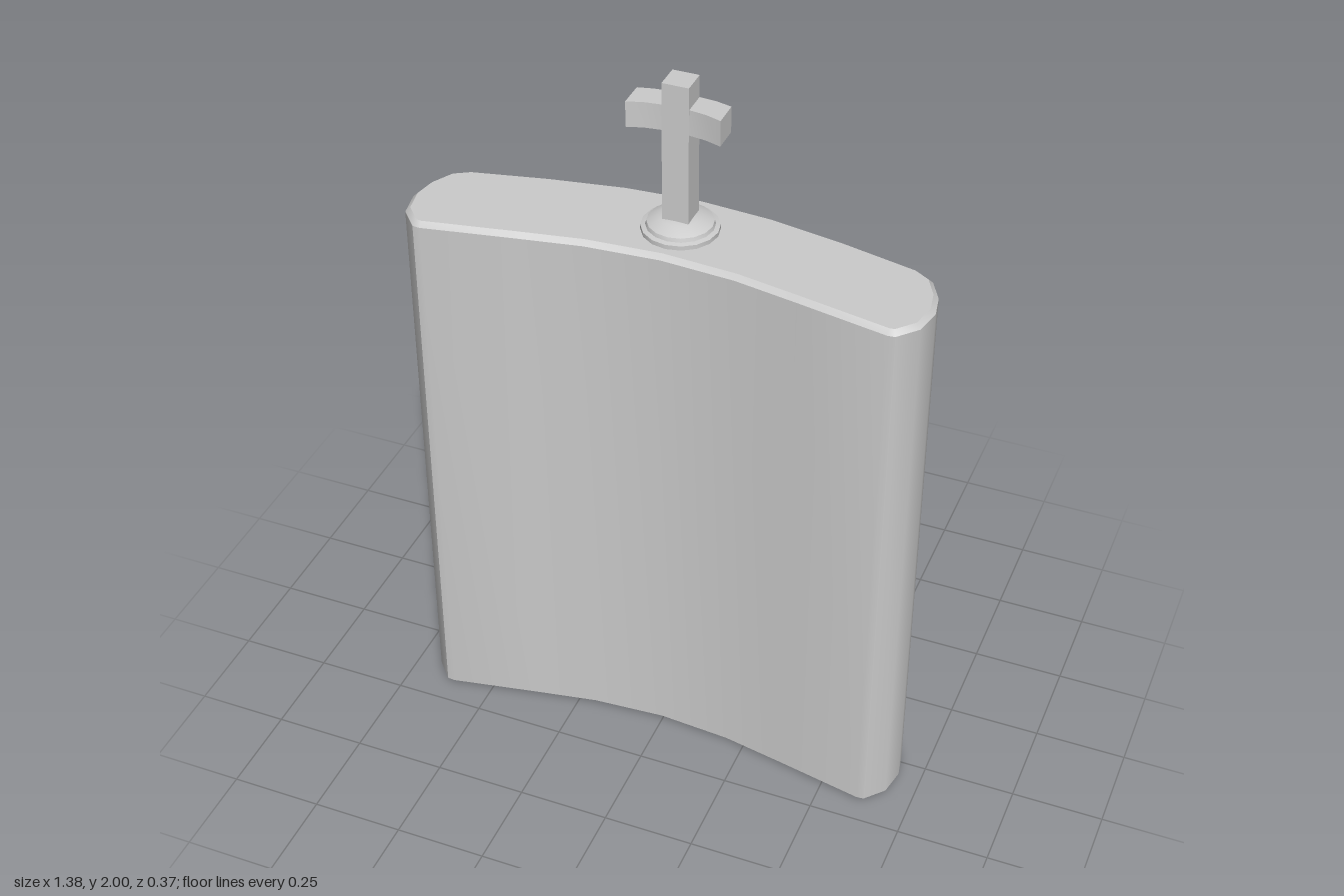
import * as THREE from 'three';
import { toCreasedNormals } from 'three/addons/utils/BufferGeometryUtils.js';

const material = new THREE.MeshStandardMaterial({ color: 0xcccccc });

function addPart(group, name, geometry) {
  const mesh = new THREE.Mesh(geometry, material);
  mesh.name = name;
  group.add(mesh);
  return mesh;
}

// Mirrors a half outline of [x, z] points (back centre to front centre) into a closed plan shape.
function mirroredPlan(half) {
  const left = half.slice(1, -1).reverse().map(([x, z]) => [-x, z]);
  return new THREE.Shape([...half, ...left].map(([x, z]) => new THREE.Vector2(x, z)));
}

// Raises a plan shape from y0 to y1, with an optional chamfer inside the outline.
function raisePlan(half, y0, y1, inset = 0, chamfer = 0) {
  const geometry = new THREE.ExtrudeGeometry(mirroredPlan(half), {
    depth: y1 - y0 - 2 * chamfer,
    bevelEnabled: inset > 0,
    bevelSegments: 1,
    bevelSize: inset,
    bevelOffset: -inset,
    bevelThickness: chamfer,
  });
  geometry.rotateX(Math.PI / 2);
  geometry.translate(0, y1 - chamfer, 0);
  return geometry;
}

export function createModel() {
  const group = new THREE.Group();
  group.name = 'flask';

  // Curved body with rounded ends and chamfered rims
  const bodyPlan = [
    [0, -0.187], [0.2, -0.173], [0.4, -0.138], [0.6, -0.093], [0.645, -0.066], [0.678, -0.005],
    [0.69, 0.058], [0.676, 0.131], [0.63, 0.182], [0.61, 0.184], [0.37, 0.138], [0.2, 0.107], [0, 0.093],
  ];
  addPart(group, 'body', toCreasedNormals(raisePlan(bodyPlan, 0, 1.578, 0.013, 0.013), 0.7));

  // Stopper: a stepped collar with a low dome
  const capZ = -0.04;
  const profile = [[0, 1.57], [0.1, 1.57], [0.1, 1.59], [0.088, 1.593], [0.085, 1.603], [0.055, 1.618], [0, 1.624]]
    .map(([r, y]) => new THREE.Vector2(r, y));
  const cap = addPart(group, 'cap', toCreasedNormals(new THREE.LatheGeometry(profile, 16), 0.5));
  cap.position.z = capZ;

  // Upright of the cross
  const upright = addPart(group, 'crossUpright', new THREE.BoxGeometry(0.07, 0.39, 0.069));
  upright.position.set(0, 1.805, capZ + 0.001);

  // Crossbar bowed to follow the body
  const barPlan = [
    [0, -0.0735], [0.035, -0.0735], [0.08, -0.07], [0.122, -0.06],
    [0.122, 0.012], [0.08, -0.001], [0.035, -0.007], [0, -0.007],
  ];
  addPart(group, 'crossBar', toCreasedNormals(raisePlan(barPlan, 1.87, 1.94), 0.7));

  return group;
}
